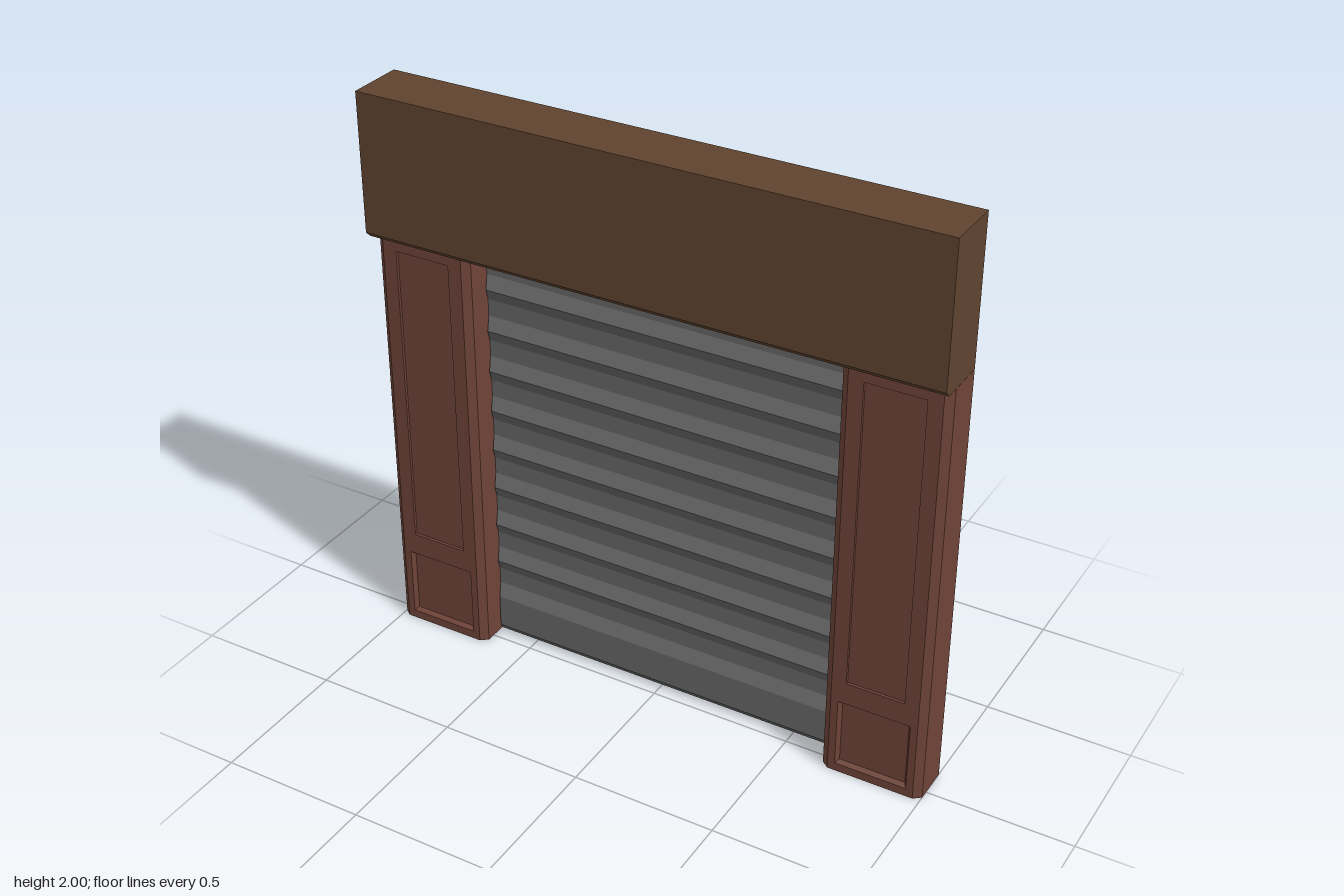
import * as THREE from 'three';

// Flat-shaded geometry from a list of convex polygons, each a loop of [x, y, z]
function faces(polygons) {
  const pos = [];
  for (const p of polygons)
    for (let i = 1; i < p.length - 1; i++) pos.push(...p[0], ...p[i], ...p[i + 1]);
  const g = new THREE.BufferGeometry();
  g.setAttribute('position', new THREE.Float32BufferAttribute(pos, 3));
  g.computeVertexNormals();
  return g;
}

// Quads joining two lines with the same number of points
const strip = (a, b) => a.slice(1).map((_, i) => [a[i], a[i + 1], b[i + 1], b[i]]);

const rect = (x0, x1, y0, y1) => [[x0, y0], [x1, y0], [x1, y1], [x0, y1]];

export function createModel() {
  const paint = (name, color) => {
    const m = new THREE.MeshStandardMaterial({ color, side: THREE.DoubleSide });
    m.name = name;
    return m;
  };
  const brown = paint('brown wood', 0x5f432f);
  const red = paint('red brown wood', 0x6e4338);
  const grey = paint('grey steel', 0x656565);

  const model = new THREE.Group();
  model.name = 'rollerShutterFront';
  const add = (parent, name, geometry, material) => {
    const mesh = new THREE.Mesh(geometry, material);
    mesh.name = name;
    parent.add(mesh);
  };

  // Header box, open at the back, with a chamfered lower front edge
  const section = [[1.5, -0.1], [1.5, 0.08], [1.52, 0.1], [2, 0.1], [2, -0.1]];
  const headerEnd = (x) => section.map(([y, z]) => [x, y, z]);
  add(model, 'header', faces([
    ...strip(headerEnd(1), headerEnd(-1)),
    headerEnd(1).reverse(),
    headerEnd(-1),
  ]), brown);

  // Side posts: hollow, open at the back, with chamfered corners and two recessed panels
  const top = 1.499, front = 0.05;
  const plan = [[0.65, -0.1], [0.65, 0.03], [0.675, front], [0.975, front], [1, 0.03], [1, -0.1]];
  const planAt = (y) => plan.map(([x, z]) => [x, y, z]);
  const panels = [
    { r: [0.725, 0.925, 0.36, 1.45], inset: 0, depth: 0.01 },
    { r: [0.70, 0.95, 0.03, 0.28], inset: 0.01, depth: 0.015 },
  ];
  for (const side of [1, -1]) {
    const post = new THREE.Group();
    post.name = side > 0 ? 'leftPost' : 'rightPost';
    post.scale.x = side;

    const low = planAt(0), high = planAt(top);
    add(post, 'postWalls', faces([
      ...strip(low.slice(0, 3), high.slice(0, 3)),
      ...strip(low.slice(3), high.slice(3)),
      low, high.slice().reverse(),
    ]), red);

    const toVectors = (r) => r.map(([x, y]) => new THREE.Vector2(x, y));
    const board = new THREE.Shape(toVectors(rect(0.675, 0.975, 0, top)));
    for (const { r, inset: t, depth } of panels) {
      board.holes.push(new THREE.Path(toVectors(rect(...r))));
      const outer = rect(...r).map(([x, y]) => [x, y, front]);
      const inner = rect(r[0] + t, r[1] - t, r[2] + t, r[3] - t).map(([x, y]) => [x, y, front - depth]);
      add(post, 'recessedPanel', faces([
        ...strip([...outer, outer[0]], [...inner, inner[0]]),
        inner,
      ]), red);
    }
    const boardGeometry = new THREE.ShapeGeometry(board);
    boardGeometry.translate(0, 0, front);
    add(post, 'postFront', boardGeometry, red);
    model.add(post);
  }

  // Shutter: ridged sheet whose ridge ends taper in, above a flat bottom bar
  const w = 0.649, tip = 0.64, base = -0.055, ridge = -0.032, shutterTop = 1.498;
  const profile = [[0, base, w], [0.03, ridge, tip], [0.15, ridge, tip], [0.195, base, w]];
  for (let k = 2; k <= 9; k++) {
    const y = 0.15 * k;
    profile.push([y - 0.045, base, w], [y, ridge, tip], [y + 0.045, base, w]);
  }
  profile.push([shutterTop, base, w]);
  const edge = (s) => profile.map(([y, z, x]) => [s * x, y, z]);
  const sheet = strip(edge(1), edge(-1));
  for (const s of [1, -1]) {
    const e = edge(s);
    const ends = [e.slice(0, 4)];
    for (let i = 4; i + 2 < e.length; i += 3) ends.push(e.slice(i, i + 3));
    sheet.push(...ends.map((p) => (s > 0 ? p.reverse() : p)));
  }
  add(model, 'shutterSheet', faces(sheet), grey);

  // Shallow frame behind the shutter sheet
  const loop = (z) => [[-w, 0, z], [w, 0, z], [w, shutterTop, z], [-w, shutterTop, z], [-w, 0, z]];
  add(model, 'shutterFrame', faces(strip(loop(-0.1), loop(base))), grey);

  return model;
}
